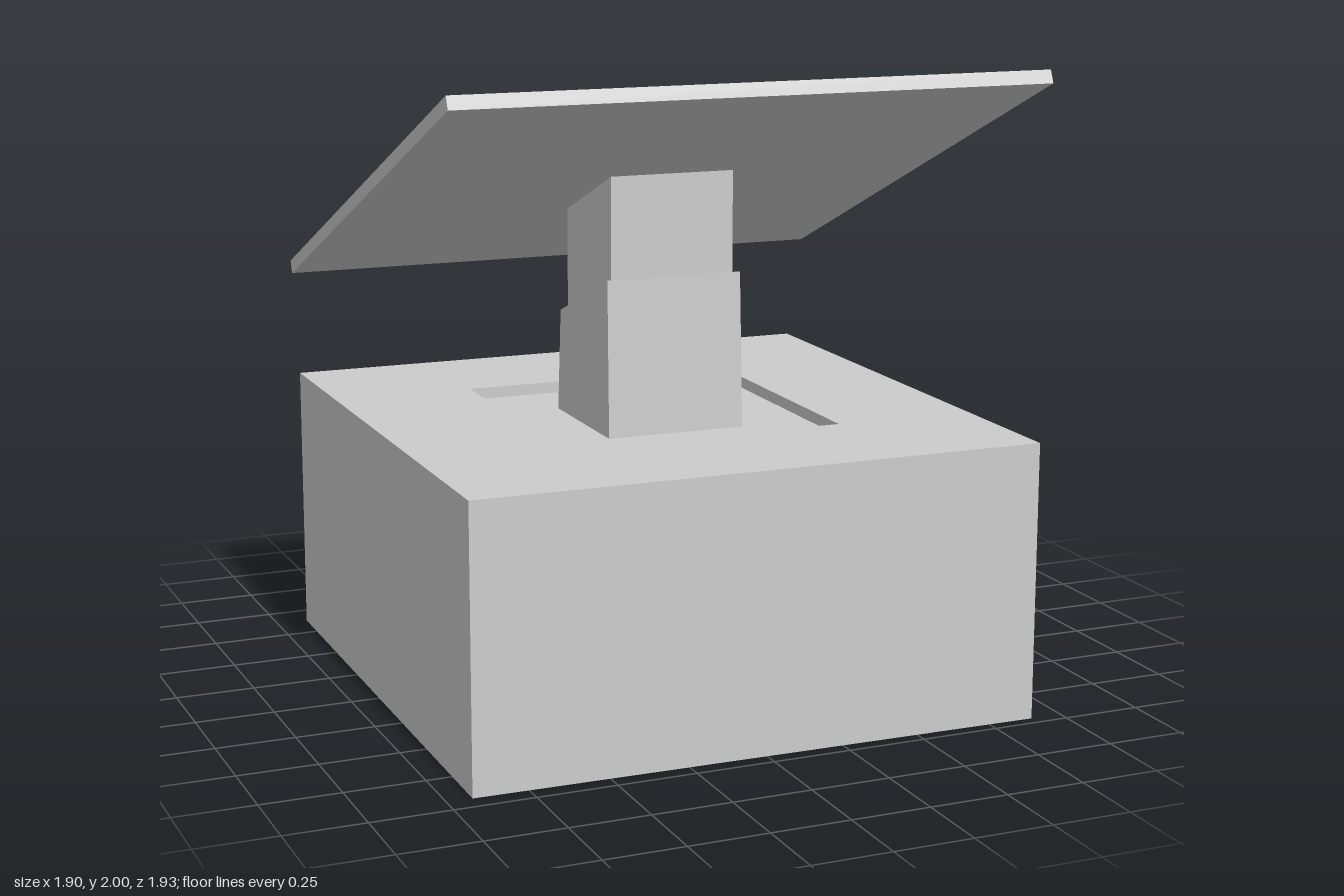
import * as THREE from 'three';

const shell = new THREE.MeshStandardMaterial({ color: 0xcccccc });
shell.name = 'light grey';
const dark = new THREE.MeshStandardMaterial({ color: 0x222222 });
dark.name = 'black';

function part(name, geometry, material, x = 0, y = 0, z = 0) {
  const mesh = new THREE.Mesh(geometry, material);
  mesh.name = name;
  mesh.position.set(x, y, z);
  return mesh;
}

// Square solid turned from a profile of half-widths and heights
function squareTurn(profile) {
  const points = profile.map(([half, y]) => new THREE.Vector2(half * Math.SQRT2, y));
  const g = new THREE.LatheGeometry(points, 4, Math.PI / 4).toNonIndexed();
  g.computeVertexNormals();
  return g;
}

// Column that narrows upward and ends in a slope rising to the front
function slopedColumn(bottomY, topY, slope, [bottomW, bottomD], [topW, topD]) {
  const g = new THREE.BoxGeometry(2, 2, 2).toNonIndexed();
  const p = g.attributes.position;
  for (let i = 0; i < p.count; i++) {
    const top = p.getY(i) > 0;
    const x = p.getX(i) * (top ? topW : bottomW);
    const z = p.getZ(i) * (top ? topD : bottomD);
    p.setXYZ(i, x, top ? topY + slope * z : bottomY, z);
  }
  g.computeVertexNormals();
  return g;
}

export function createModel() {
  const model = new THREE.Group();
  model.name = 'deskStand';

  // Base block with a shallow square recess in its top
  const h = 0.877, floor = 0.84;
  model.add(part('base', squareTurn([
    [0, 0], [0.91, 0], [0.91, h], [0.455, h], [0.455, floor], [0, floor],
  ]), shell));

  // Two-stage telescopic column
  model.add(part('lowerColumn',
    slopedColumn(floor, 1.253, 0.393, [0.226, 0.229], [0.223, 0.21]), shell));
  model.add(part('upperColumn',
    slopedColumn(1.0, 1.578, 0.397, [0.204, 0.193], [0.204, 0.193]), shell));

  // Tilted square plate, high at the front
  const plate = part('tiltedPlate', new THREE.BoxGeometry(1.88, 0.043, 1.88), shell, 0, 1.616, -0.004);
  plate.rotation.x = -THREE.MathUtils.degToRad(22.87);
  model.add(plate);

  // Dark panel on the back
  model.add(part('backPanel', new THREE.BoxGeometry(1.59, 0.425, 0.09), dark, 0.012, 0.443, -0.95));

  // Slight turn of the whole stand
  model.rotation.y = -0.0137;
  model.position.z = 0.04;
  const root = new THREE.Group();
  root.name = 'model';
  root.add(model);
  return root;
}
